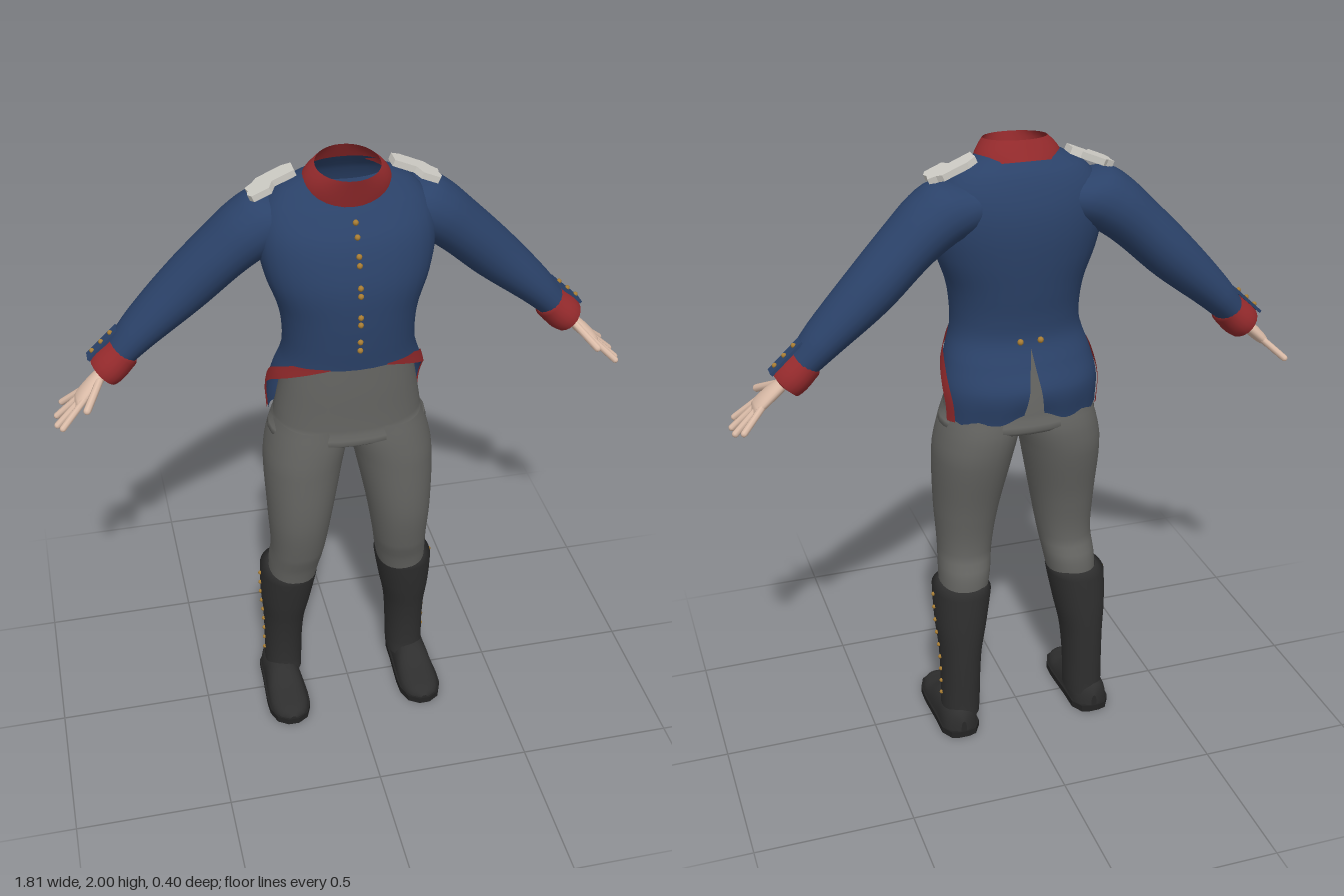
import * as THREE from 'three';
import { ParametricGeometry } from 'three/addons/geometries/ParametricGeometry.js';

const { sin, cos, abs, sign, PI, pow, min, max } = Math;
const material = (name, color) => {
  const m = new THREE.MeshStandardMaterial({ color, side: THREE.DoubleSide });
  m.name = name;
  return m;
};

// Smooth interpolation of key rows; the first number of a row is its parameter
function at(keys, t) {
  const n = keys.length - 1;
  t = min(max(t, keys[0][0]), keys[n][0]);
  let i = 0;
  while (i < n - 1 && t > keys[i + 1][0]) i++;
  const a = keys[i], b = keys[i + 1], p = keys[max(i - 1, 0)], q = keys[min(i + 2, n)];
  const h = b[0] - a[0], s = (t - a[0]) / h, s2 = s * s, s3 = s2 * s;
  return a.map((v, c) => {
    const m0 = (b[c] - p[c]) / (b[0] - p[0]) * h, m1 = (q[c] - a[c]) / (q[0] - a[0]) * h;
    return v * (2 * s3 - 3 * s2 + 1) + m0 * (s3 - 2 * s2 + s) + b[c] * (3 * s2 - 2 * s3) + m1 * (s3 - s2);
  });
}

const round = (v, p) => sign(v) * pow(abs(v), p);

// Point on an upright body; rows are [y, centre x, half width, front z, back z]
function onBody(keys, y, angle, out, off = 0) {
  const [, cx, w, f, b] = at(keys, y);
  return out.set(cx + (w + off) * round(sin(angle), 0.92), y,
    (f + b) / 2 + ((f - b) / 2 + off) * round(cos(angle), 0.92));
}
const body = (keys, rows, from = keys[0][0], to = keys[keys.length - 1][0]) =>
  new ParametricGeometry((u, v, p) => onBody(keys, from + (to - from) * v, u * 2 * PI, p), 32, rows);

// Sleeve-like tube square to the arm; rows are [x, y, z, half height, half depth]
const ARM = new THREE.Vector3(0.73, -0.68, 0).normalize();
const UP = new THREE.Vector3(-ARM.y, ARM.x, 0);
const armTube = (keys, rows) => new ParametricGeometry((u, v, p) => {
  const [x, y, z, r, d] = at(keys, keys[0][0] + (keys[keys.length - 1][0] - keys[0][0]) * v);
  const c = r * cos(u * 2 * PI);
  p.set(x + UP.x * c, y + UP.y * c, z + d * sin(u * 2 * PI));
}, 20, rows);

function mirrored(geo) {
  const g = geo.clone().scale(-1, 1, 1);
  const idx = g.index ? [...g.index.array] : [...Array(g.attributes.position.count).keys()];
  for (let i = 0; i < idx.length; i += 3) [idx[i], idx[i + 1]] = [idx[i + 1], idx[i]];
  g.setIndex(idx);
  return g;
}

const COAT = [
  [1.14, 0, 0.247, 0.145, -0.182], [1.24, 0, 0.246, 0.15, -0.198], [1.32, 0, 0.23, 0.155, -0.17],
  [1.395, 0, 0.206, 0.163, -0.142], [1.46, 0, 0.201, 0.171, -0.143], [1.55, 0, 0.212, 0.178, -0.157],
  [1.65, 0, 0.246, 0.178, -0.171], [1.73, 0, 0.262, 0.163, -0.177], [1.8, 0, 0.262, 0.138, -0.173],
  [1.86, 0, 0.243, 0.1, -0.158], [1.91, 0, 0.2, 0.065, -0.136], [1.94, 0, 0.15, 0.05, -0.113],
  [1.957, 0, 0.115, 0.045, -0.1]];
const PELVIS = [
  [1.075, 0, 0.02, 0.02, -0.03], [1.082, 0, 0.13, 0.09, -0.11], [1.1, 0, 0.244, 0.148, -0.166],
  [1.15, 0, 0.234, 0.147, -0.163], [1.2, 0, 0.226, 0.147, -0.156], [1.3, 0, 0.208, 0.149, -0.138],
  [1.42, 0, 0.185, 0.148, -0.12]];
const LEG = [
  [0.48, 0.19, 0.075, 0.07, -0.11], [0.57, 0.181, 0.083, 0.092, -0.108], [0.65, 0.172, 0.087, 0.12, -0.085],
  [0.8, 0.163, 0.103, 0.15, -0.106], [1.0, 0.145, 0.125, 0.155, -0.158], [1.09, 0.128, 0.126, 0.151, -0.167],
  [1.16, 0.12, 0.11, 0.143, -0.158]];
const BOOT = [
  [0.06, 0.219, 0.062, 0.02, -0.142], [0.1, 0.218, 0.063, 0.013, -0.142], [0.2, 0.216, 0.064, 0.02, -0.146],
  [0.3, 0.213, 0.069, 0.037, -0.149], [0.4, 0.207, 0.083, 0.062, -0.15], [0.52, 0.197, 0.094, 0.088, -0.146],
  [0.53, 0.197, 0.092, 0.086, -0.144], [0.534, 0.19, 0.074, 0.07, -0.115]];
const SLEEVE = [
  [0.13, 1.83, -0.06, 0.07, 0.08], [0.2, 1.82, -0.06, 0.1, 0.103], [0.27, 1.785, -0.062, 0.095, 0.11],
  [0.35, 1.72, -0.07, 0.086, 0.105], [0.475, 1.6, -0.085, 0.08, 0.095], [0.62, 1.465, -0.088, 0.06, 0.078],
  [0.69, 1.39, -0.085, 0.046, 0.06]];
const CUFF = [
  [0.664, 1.41, -0.083, 0.046, 0.06], [0.67, 1.404, -0.083, 0.054, 0.067], [0.74, 1.339, -0.08, 0.052, 0.064],
  [0.744, 1.335, -0.078, 0.016, 0.024]];
const PALM = [
  [0.735, 1.343, -0.075, 0.018, 0.026], [0.78, 1.302, -0.063, 0.02, 0.038], [0.82, 1.264, -0.055, 0.015, 0.042],
  [0.832, 1.253, -0.055, 0.003, 0.03]];
// Rows are [z, half width, top y]
const FOOT = [
  [-0.156, 0.01, 0.06], [-0.148, 0.036, 0.092], [-0.11, 0.058, 0.105], [-0.03, 0.06, 0.112], [0.02, 0.063, 0.104],
  [0.08, 0.066, 0.074], [0.13, 0.064, 0.06], [0.175, 0.046, 0.048], [0.196, 0.012, 0.03]];
// Front edge of the coat tails: angle by height
const EDGE = [[1.14, 1.84], [1.2, 1.79], [1.26, 1.62], [1.3, 1.42], [1.35, 0.95], [1.38, 0.6], [1.395, 0.38]];

export function createModel() {
  const root = new THREE.Group();
  root.name = 'uniform';
  const navy = material('navy cloth', 0x2b4269), red = material('red cloth', 0x942a2c);
  const grey = material('grey cloth', 0x656562), black = material('boot leather', 0x2f2f2f);
  const dark = material('sole leather', 0x232323), skin = material('skin', 0xdcbda9);
  const white = material('white braid', 0xcfcdc6), gold = material('brass', 0xa87d34);

  const add = (name, geo, mat) => {
    const m = new THREE.Mesh(geo, mat);
    m.name = name;
    root.add(m);
  };
  const pair = (name, geo, mat) => {
    add('left ' + name, geo, mat);
    add('right ' + name, mirrored(geo), mat);
  };
  const button = (p, r = 0.009) => new THREE.SphereGeometry(r, 8, 6).translate(p.x, p.y, p.z);
  const V = (x = 0, y = 0, z = 0) => new THREE.Vector3(x, y, z);

  // Coat body and collar
  add('coat body', body(COAT, 30, 1.39, 1.957), navy);
  add('collar', new ParametricGeometry((u, v, p) => {
    const a = u * 2 * PI, c = cos(a);
    const front = 0.082 + 0.024 * v, back = -0.12 + 0.03 * v;
    p.set((0.137 - 0.042 * v * v) * sin(a), (1.915 - 0.03 * c) * (1 - v) + (1.9875 - 0.0125 * c) * v,
      (front + back) / 2 + (front - back) / 2 * c);
  }, 32, 5), red);

  // Coat tails, split at the back, with red edging
  pair('coat tail', new ParametricGeometry((u, v, p) => {
    const y = 1.395 - 0.255 * v, start = at(EDGE, y)[1];
    const end = PI - 0.11 * max(0, (1.38 - y) / 0.24);
    const a = start + (end - start) * u;
    onBody(COAT, y, a, p, 0.001);
    p.y += pow(v, 3) * (0.03 * THREE.MathUtils.smoothstep(a, 2.5, PI) + 0.006 * sin(u * 14));
  }, 26, 18), navy);
  pair('coat edging', new ParametricGeometry((u, v, p) => {
    const y = 1.395 - 0.255 * u, a = at(EDGE, y)[1], e = 0.004;
    const run = 0.21 * (at(EDGE, y - e)[1] - at(EDGE, y + e)[1]), len = Math.hypot(run, 2 * e);
    const w = 0.043 * v * min(1, 0.1 + u * 5);
    onBody(COAT, y + w * run / len, a + w * 2 * e / len / 0.21, p, 0.006);
  }, 40, 4), red);

  // Coat buttons
  [1.85, 1.815, 1.765, 1.74, 1.675, 1.65, 1.58, 1.555, 1.495, 1.465].forEach(y =>
    add('front button', button(onBody(COAT, y, 0, V(), 0.003)), gold));
  pair('tail button', button(onBody(COAT, 1.4, PI - 0.13, V(), 0.004), 0.01), gold);

  // Sleeves, cuffs and cuff flaps
  pair('sleeve', armTube(SLEEVE, 24), navy);
  pair('cuff', armTube(CUFF, 10), red);
  const flapAt = V(0.692, 1.388, -0.095).addScaledVector(UP, 0.056);
  pair('cuff flap', new THREE.BoxGeometry(0.13, 0.009, 0.042)
    .rotateZ(Math.atan2(ARM.y, ARM.x)).translate(flapAt.x, flapAt.y, flapAt.z), navy);
  for (const s of [-0.04, 0, 0.04])
    pair('cuff button', button(flapAt.clone().addScaledVector(ARM, s).addScaledVector(UP, 0.006), 0.008), gold);

  // Hands: palm, four fingers and a thumb
  pair('palm', armTube(PALM, 12), skin);
  const inHand = (u, z) => V(0.735, 1.343, z).addScaledVector(ARM, u);
  const digits = [[0.095, -0.025, 0.195, 0.012], [0.1, -0.046, 0.215, -0.03], [0.1, -0.067, 0.212, -0.08],
    [0.09, -0.086, 0.185, -0.125], [0.025, -0.045, 0.09, 0.04]];
  digits.forEach(([u0, z0, u1, z1], i) => {
    const a = inHand(u0, z0), b = inHand(u1, z1), d = b.clone().sub(a);
    const geo = new THREE.CapsuleGeometry(i === 4 ? 0.012 : 0.0105, d.length(), 4, 8);
    geo.applyQuaternion(new THREE.Quaternion().setFromUnitVectors(V(0, 1, 0), d.normalize()));
    a.add(b).multiplyScalar(0.5);
    pair(i === 4 ? 'thumb' : 'finger', geo.translate(a.x, a.y, a.z), skin);
  });

  // Shoulder straps with a wider outer end
  const strap = new THREE.Shape([[0, 0.03], [0.07, 0.03], [0.085, 0], [0.14, 0], [0.15, 0.02], [0.145, 0.04],
    [0.15, 0.065], [0.125, 0.075], [0.11, 0.09], [0.03, 0.092], [0, 0.08]].map(p => new THREE.Vector2(...p)));
  pair('shoulder strap', new THREE.ExtrudeGeometry(strap, { depth: 0.02, bevelEnabled: false })
    .rotateX(-PI / 2).rotateZ(-0.4).translate(0.14, 1.944, 0), white);

  // Trousers
  add('trouser seat', body(PELVIS, 20), grey);
  pair('trouser leg', body(LEG, 24), grey);

  // Boots with side buttons
  pair('boot shaft', body(BOOT, 28), black);
  pair('boot foot', new ParametricGeometry((u, v, p) => {
    const [z, w, top] = at(FOOT, -0.156 + 0.352 * v), a = u * 2 * PI;
    p.set(0.232 + w * round(cos(a), 0.85), 0.014 + (top - 0.014) * pow(max(sin(a), 0), 0.8), z);
  }, 24, 22), black);
  const outline = [1, -1].flatMap(s => {
    const side = FOOT.map(([z, w]) => new THREE.Vector2(0.232 + s * (w + 0.006), -z * 1.02));
    return s > 0 ? side : side.reverse();
  });
  pair('sole', new THREE.ExtrudeGeometry(new THREE.Shape(outline), { depth: 0.022, bevelEnabled: false })
    .rotateX(-PI / 2), dark);
  for (let i = 0; i < 9; i++)
    pair('boot button', button(onBody(BOOT, 0.5 - i * 0.046, PI / 2, V(), 0.002), 0.007), gold);

  return root;
}
